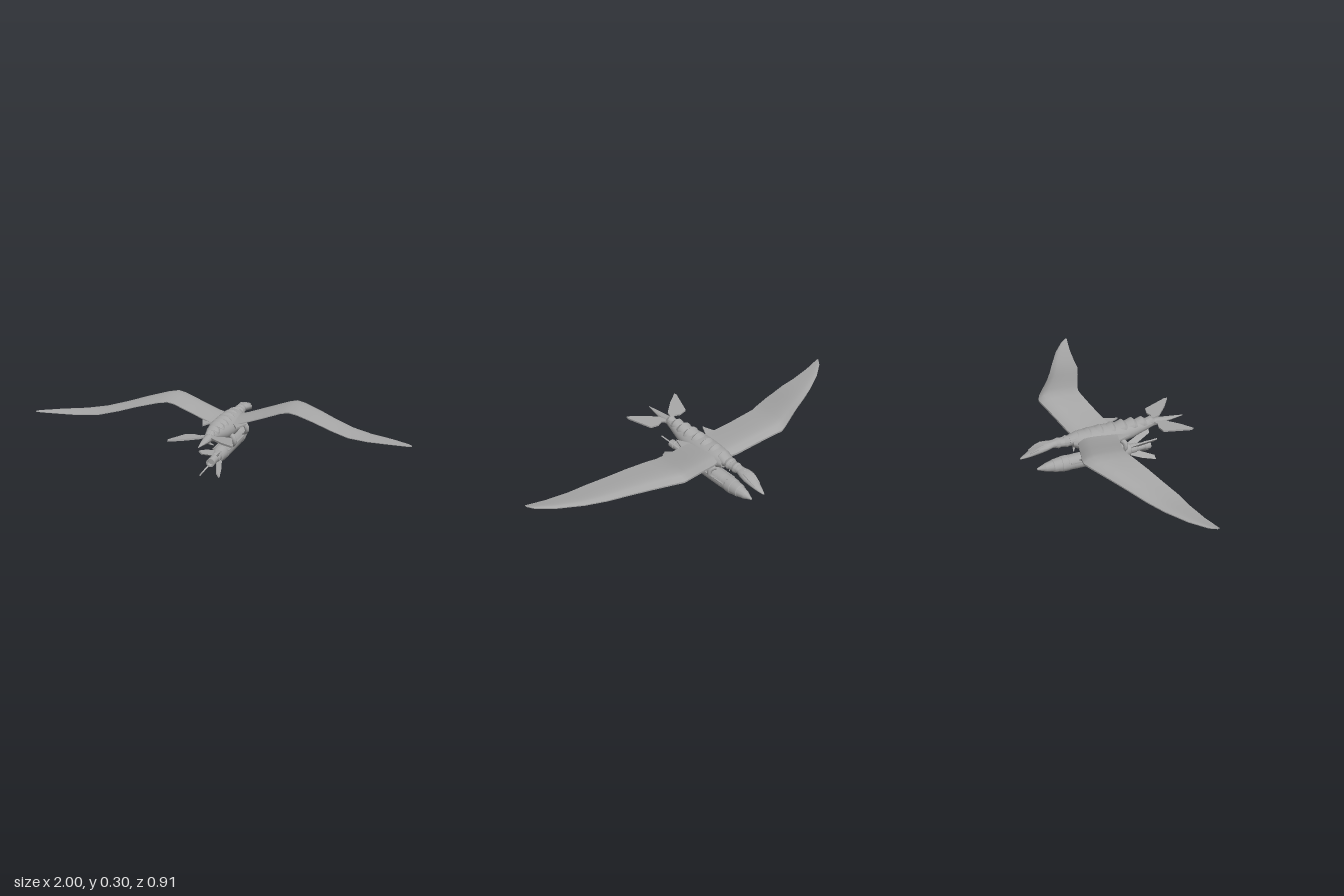
import * as THREE from 'three';
import { toCreasedNormals } from 'three/addons/utils/BufferGeometryUtils.js';

const gray = new THREE.MeshStandardMaterial({ color: 0xa6a6a6 });
gray.name = 'plain gray';

// Joins closed rings of [x, y, z] points into a capped skin
function loft(rings) {
  const n = rings[0].length, pos = rings.flat(2), idx = [];
  for (let i = 0; i < rings.length - 1; i++) {
    for (let j = 0; j < n; j++) {
      const k = (j + 1) % n, a = i * n + j, b = i * n + k;
      idx.push(a, b, b + n, a, b + n, a + n);
    }
  }
  const last = (rings.length - 1) * n;
  for (let j = 1; j < n - 1; j++) {
    idx.push(0, j + 1, j, last, last + j, last + j + 1);
  }
  const geo = new THREE.BufferGeometry();
  geo.setAttribute('position', new THREE.Float32BufferAttribute(pos, 3));
  geo.setIndex(idx);
  return geo;
}

// Oval sections [z, centreY, halfWidth, halfHeight], in order of rising z
function ovals(sections, sides = 24) {
  return loft(sections.map(([z, y, rx, ry]) =>
    Array.from({ length: sides }, (_, j) => {
      const t = (j / sides) * Math.PI * 2;
      return [Math.cos(t) * rx, y + Math.sin(t) * ry, z];
    })));
}

// Thin plate from [x, z] points, lying flat at y = 0
function plate(points, thick) {
  const shape = new THREE.Shape(points.map(([x, z]) => new THREE.Vector2(x, z)));
  const geo = new THREE.ExtrudeGeometry(shape, { depth: thick, bevelEnabled: false });
  return geo.translate(0, 0, -thick / 2).rotateX(Math.PI / 2);
}

// Mirrors across x and restores the face order
function mirrored(geo) {
  const g = geo.index ? geo.toNonIndexed() : geo.clone();
  g.scale(-1, 1, 1);
  const p = g.attributes.position, a = new THREE.Vector3(), b = new THREE.Vector3();
  for (let i = 0; i < p.count; i += 3) {
    a.fromBufferAttribute(p, i + 1);
    b.fromBufferAttribute(p, i + 2);
    p.setXYZ(i + 1, b.x, b.y, b.z);
    p.setXYZ(i + 2, a.x, a.y, a.z);
  }
  return g;
}

export function createModel() {
  const model = new THREE.Group();
  const add = (name, geo, crease = 0.6) => {
    geo.deleteAttribute('uv');
    geo.deleteAttribute('normal');
    const mesh = new THREE.Mesh(toCreasedNormals(geo, crease), gray);
    mesh.name = name;
    model.add(mesh);
  };
  const addPair = (name, geo, crease) => {
    const other = mirrored(geo);
    add(name + 'Left', geo, crease);
    add(name + 'Right', other, crease);
  };

  // Bird body, neck and head
  add('body', ovals([
    [-0.175, 0.195, 0.04, 0.03], [-0.14, 0.193, 0.055, 0.045], [-0.08, 0.188, 0.066, 0.053],
    [0, 0.186, 0.07, 0.056], [0.08, 0.187, 0.066, 0.052], [0.15, 0.192, 0.056, 0.045],
    [0.21, 0.199, 0.042, 0.035], [0.28, 0.207, 0.024, 0.024],
  ]));
  add('neck', ovals([
    [-0.29, 0.202, 0.024, 0.018], [-0.262, 0.202, 0.026, 0.022],
    [-0.215, 0.2, 0.03, 0.025], [-0.15, 0.2, 0.034, 0.028],
  ]));
  [[-0.25, 0.03, 0.028], [-0.205, 0.035, 0.03], [-0.165, 0.039, 0.032]].forEach(([z, rx, ry]) =>
    add('neckRing', ovals([
      [z - 0.014, 0.201, rx * 0.85, ry * 0.85], [z, 0.201, rx, ry], [z + 0.022, 0.201, rx * 0.8, ry * 0.8],
    ]), 0.3));
  add('head', ovals([
    [-0.455, 0.153, 0.004, 0.003], [-0.43, 0.162, 0.014, 0.009], [-0.405, 0.171, 0.022, 0.014],
    [-0.375, 0.184, 0.031, 0.02], [-0.345, 0.194, 0.037, 0.023], [-0.315, 0.199, 0.035, 0.022],
    [-0.285, 0.202, 0.027, 0.018], [-0.265, 0.202, 0.02, 0.014],
  ]));
  // Brow ridges and crown scales
  addPair('brow', ovals([
    [-0.405, 0.182, 0.003, 0.003], [-0.37, 0.2, 0.009, 0.007],
    [-0.34, 0.21, 0.01, 0.008], [-0.3, 0.214, 0.003, 0.003],
  ], 8).translate(0.018, 0, 0));
  for (let i = 0; i < 4; i++) {
    const z = -0.395 + i * 0.025, y = 0.186 + 0.03 * Math.sin((i / 3) * Math.PI / 2);
    add('crownScale', ovals([[z - 0.014, y - 0.006, 0.004, 0.003], [z + 0.008, y, 0.011, 0.007]], 8), 0.3);
  }

  // Overlapping back plates
  [
    [-0.16, 0.232, 0.04], [-0.095, 0.238, 0.048], [-0.03, 0.241, 0.05], [0.035, 0.242, 0.05],
    [0.095, 0.244, 0.049], [0.15, 0.243, 0.044], [0.205, 0.238, 0.036], [0.255, 0.23, 0.026],
  ].forEach(([z, top, w]) => {
    const h = w * 0.7;
    add('backPlate', ovals([
      [z - 0.03, top - h, w * 0.84, h * 0.8], [z + 0.015, top - h, w, h + 0.012],
      [z + 0.034, top - h, w * 0.9, h * 0.8],
    ], 20), 0.35);
  });

  // Wings: [x, leading z, trailing z, leading y, crown y, trailing y]
  const stations = [
    [0.03, -0.15, 0.06, 0.203, 0.224, 0.213], [0.08, -0.165, 0.052, 0.208, 0.232, 0.217],
    [0.2, -0.2, 0.017, 0.243, 0.266, 0.25], [0.29, -0.228, -0.006, 0.268, 0.292, 0.277],
    [0.33, -0.235, -0.01, 0.273, 0.3, 0.283], [0.38, -0.212, 0.008, 0.27, 0.295, 0.279],
    [0.48, -0.153, 0.047, 0.252, 0.275, 0.26], [0.57, -0.1, 0.082, 0.234, 0.252, 0.238],
    [0.67, -0.048, 0.118, 0.218, 0.23, 0.219], [0.77, 0.003, 0.134, 0.212, 0.221, 0.213],
    [0.89, 0.07, 0.154, 0.215, 0.222, 0.216], [0.975, 0.135, 0.174, 0.22, 0.224, 0.221],
    [1, 0.168, 0.179, 0.224, 0.226, 0.224],
  ];
  const steps = 8;
  const wing = loft(stations.map(([x, zl, zt, yl, yc, yt]) => {
    const upper = [], lower = [];
    for (let i = 0; i <= steps; i++) {
      const t = i / steps, bulge = Math.sin(Math.PI * Math.sqrt(t));
      const z = zl + (zt - zl) * t;
      const y = yl + (yt - yl) * t + (yc - (yl + yt) / 2) * bulge;
      upper.push([x, y, z]);
      lower.unshift([x, y - 0.012 * (1 - 0.7 * x) * (1 - 0.5 * t), z]);
    }
    return [...upper, ...lower];
  }));
  addPair('wing', wing, 0.7);
  addPair('wingRootFeather', plate([[0.045, 0.03], [0.12, 0.03], [0.09, 0.12]], 0.008).translate(0, 0.212, 0));

  // Pointed tail with a spread feather on each side
  add('tailSpike', ovals([
    [0.25, 0.206, 0.026, 0.024], [0.3, 0.205, 0.023, 0.02],
    [0.38, 0.206, 0.015, 0.01], [0.455, 0.207, 0.002, 0.002],
  ], 12));
  addPair('tailFeather', plate([
    [0.008, 0.27], [0.045, 0.295], [0.075, 0.283], [0.12, 0.293],
    [0.168, 0.425], [0.165, 0.442], [0.1, 0.398], [0.03, 0.335],
  ], 0.009).rotateX(-0.06).translate(0, 0.195, 0));

  // Gripping legs, thinning towards the claw
  [0.09, -0.135].forEach((z, i) => {
    const path = new THREE.CatmullRomCurve3([
      [0.045, 0.168, z - 0.005], [0.068, 0.155, z + 0.007], [0.076, 0.13, z + 0.008],
      [0.064, 0.11, z - 0.002], [0.042, 0.097, z - 0.013],
    ].map(p => new THREE.Vector3(...p)));
    const seg = 14, sides = 10;
    const geo = new THREE.TubeGeometry(path, seg, 0.015, sides);
    const p = geo.attributes.position, v = new THREE.Vector3();
    for (let k = 0; k < p.count; k++) {
      const t = Math.floor(k / (sides + 1)) / seg;
      v.fromBufferAttribute(p, k).lerp(path.getPointAt(t), 0.9 * t * t);
      p.setXYZ(k, v.x, v.y, v.z);
    }
    addPair(i ? 'frontLeg' : 'rearLeg', geo, 1);
  });

  // Rocket hull turned around its long axis: [radius, z]
  const profile = [
    [0, -0.366], [0.005, -0.365], [0.02, -0.325], [0.022, -0.322], [0.031, -0.282], [0.034, -0.278],
    [0.039, -0.235], [0.041, -0.233], [0.042, -0.2], [0.04, -0.198], [0.04, -0.168], [0.041, -0.165],
    [0.041, 0.08], [0.038, 0.082], [0.041, 0.105], [0.034, 0.15], [0.026, 0.155], [0.026, 0.185],
    [0.022, 0.19], [0.019, 0.235], [0.022, 0.24], [0.022, 0.269], [0.015, 0.269], [0.013, 0.25], [0, 0.25],
  ];
  const hull = new THREE.LatheGeometry(profile.map(([r, z]) => new THREE.Vector2(r, z)), 28);
  add('rocketHull', hull.rotateX(Math.PI / 2).translate(0, 0.067, 0), 0.35);
  addPair('rocketRail', new THREE.BoxGeometry(0.008, 0.006, 0.28).translate(0.041, 0.081, -0.05));

  // Four swept rocket fins in a cross
  const finShape = [[0.02, 0.14], [0.034, 0.148], [0.062, 0.21], [0.085, 0.285], [0.06, 0.28], [0.02, 0.2]];
  [0.86, -0.92].forEach((angle, i) =>
    addPair(i ? 'lowerFin' : 'upperFin', plate(finShape, 0.007).rotateZ(angle).translate(0, 0.067, 0)));

  return model;
}
